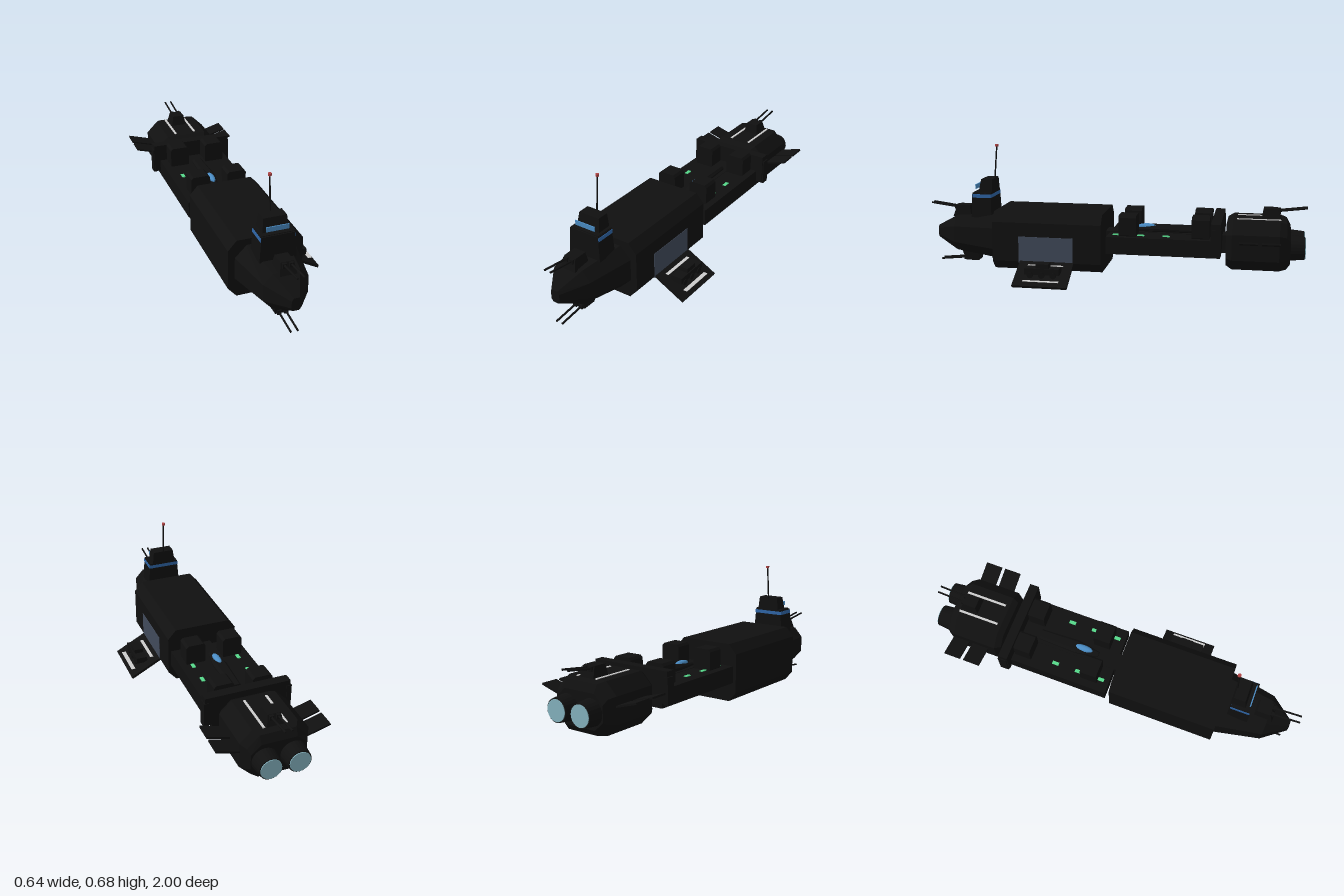
import * as THREE from 'three';

const mat = (color) => new THREE.MeshStandardMaterial({ color, flatShading: true });
const M = {
  hull: mat(0x101010), blue: mat(0x2f66a8), glass: mat(0x4a8cc4), door: mat(0x414a5a),
  white: mat(0xd8d8d8), green: mat(0x55d98a), red: mat(0xb04444), glow: mat(0x86b4c0),
};

function add(parent, name, geo, m, x = 0, y = 0, z = 0) {
  const mesh = new THREE.Mesh(geo, m);
  mesh.name = name;
  mesh.position.set(x, y, z);
  parent.add(mesh);
  return mesh;
}

// Box given by its extents
function block(parent, name, m, x0, x1, y0, y1, z0, z1) {
  return add(parent, name, new THREE.BoxGeometry(x1 - x0, y1 - y0, z1 - z0), m,
    (x0 + x1) / 2, (y0 + y1) / 2, (z0 + z1) / 2);
}

// Box whose top is scaled by sx, sz and shifted by dz
function taper(w, h, d, sx, sz, dz = 0) {
  const g = new THREE.BoxGeometry(w, h, d);
  const p = g.attributes.position;
  for (let i = 0; i < p.count; i++) {
    if (p.getY(i) > 0) p.setXYZ(i, p.getX(i) * sx, p.getY(i), p.getZ(i) * sz + dz);
  }
  g.computeVertexNormals();
  return g;
}

// Chamfered eight-sided hull through sections [z, halfWidth, yLow, yHigh, chamferX, chamferY], back to front
function hullLoft(sections) {
  const rings = sections.map(([z, w, a, b, cx, cy]) => [
    [w, a + cy, z], [w, b - cy, z], [w - cx, b, z], [cx - w, b, z],
    [-w, b - cy, z], [-w, a + cy, z], [cx - w, a, z], [w - cx, a, z],
  ]);
  const v = [];
  const tri = (...pts) => pts.forEach((p) => v.push(...p));
  for (let s = 0; s < rings.length - 1; s++) {
    const a = rings[s], b = rings[s + 1];
    for (let i = 0; i < 8; i++) {
      const j = (i + 1) % 8;
      tri(a[i], a[j], b[j]);
      tri(a[i], b[j], b[i]);
    }
  }
  const back = rings[0], front = rings[rings.length - 1];
  for (let i = 1; i < 7; i++) {
    tri(back[0], back[i + 1], back[i]);
    tri(front[0], front[i], front[i + 1]);
  }
  const g = new THREE.BufferGeometry();
  g.setAttribute('position', new THREE.Float32BufferAttribute(v, 3));
  g.computeVertexNormals();
  return g;
}

// Straight rod between two points
function rod(parent, name, m, a, b, r, sides = 8) {
  const p = new THREE.Vector3(...a), q = new THREE.Vector3(...b);
  const d = q.clone().sub(p);
  const mesh = add(parent, name, new THREE.CylinderGeometry(r, r, d.length(), sides), m);
  mesh.position.copy(p).add(q).multiplyScalar(0.5);
  mesh.quaternion.setFromUnitVectors(new THREE.Vector3(0, 1, 0), d.normalize());
  return mesh;
}

// Twin-barrel gun turret facing +z
function turret(parent, name, y, z, reach, rise) {
  const g = new THREE.Group();
  g.name = name;
  g.position.set(0, y, z);
  add(g, 'turretBase', taper(0.085, 0.06, 0.1, 0.75, 0.7, -0.005), M.hull, 0, 0.02, 0);
  for (const s of [-1, 1]) {
    block(g, 'barrelMount', M.hull, s * 0.017 - 0.01, s * 0.017 + 0.01, 0.025, 0.048, 0, 0.045);
    rod(g, 'barrel', M.hull, [s * 0.017, 0.036, 0.02], [s * 0.017, 0.036 + rise, reach], 0.005);
  }
  parent.add(g);
  return g;
}

export function createModel() {
  const model = new THREE.Group();
  const ship = new THREE.Group();
  ship.name = 'ship';
  ship.position.x = -0.037;
  model.add(ship);

  // Nose and cargo hull
  add(ship, 'nose', hullLoft([
    [0.59, 0.158, 0.084, 0.318, 0.06, 0.06],
    [0.845, 0.11, 0.115, 0.3, 0.045, 0.05],
    [0.965, 0.024, 0.17, 0.235, 0.01, 0.015],
  ]), M.hull);
  add(ship, 'cargoHull', hullLoft([
    [0.03, 0.189, 0.046, 0.349, 0.043, 0.049],
    [0.606, 0.189, 0.046, 0.349, 0.043, 0.049],
  ]), M.hull);
  block(ship, 'cargoDoor', M.door, 0.186, 0.191, 0.09, 0.228, 0.177, 0.465);

  // Bridge tower
  add(ship, 'towerBase', taper(0.182, 0.13, 0.11, 0.9, 0.92), M.hull, 0, 0.365, 0.695);
  block(ship, 'bridgeWindowBand', M.blue, -0.085, 0.085, 0.405, 0.424, 0.643, 0.745);
  block(ship, 'bridgeRoof', M.hull, -0.08, 0.08, 0.424, 0.434, 0.643, 0.74);
  add(ship, 'upperBridge', taper(0.13, 0.068, 0.075, 0.88, 0.8, -0.005), M.hull, 0, 0.467, 0.678);
  block(ship, 'upperWindow', M.glass, -0.056, 0.056, 0.448, 0.472, 0.732, 0.737);
  rod(ship, 'mast', M.hull, [0, 0.495, 0.645], [0, 0.675, 0.63], 0.004);
  add(ship, 'mastLight', new THREE.CylinderGeometry(0.009, 0.009, 0.012, 10), M.red, 0, 0.677, 0.63);

  // Gun turrets
  turret(ship, 'frontTopTurret', 0.303, 0.82, 0.18, 0.021);
  turret(ship, 'frontBottomTurret', 0.1, 0.778, 0.175, 0.016).rotation.z = Math.PI;
  turret(ship, 'rearTurret', 0.338, -0.822, 0.178, 0.02).rotation.y = Math.PI;

  // Spine and open deck
  block(ship, 'spine', M.hull, -0.046, 0.046, 0.152, 0.245, -0.62, 0.05);
  block(ship, 'deck', M.hull, -0.188, 0.184, 0.155, 0.243, -0.575, 0.005);
  block(ship, 'crossbar', M.hull, -0.22, 0.22, 0.18, 0.335, -0.577, -0.528);
  for (const s of [-1, 1]) {
    block(ship, 'crossbarCap', M.hull, s * 0.213 - 0.013, s * 0.213 + 0.013, 0.174, 0.308, -0.58, -0.535);
    for (const z of [-0.1, -0.473]) {
      add(ship, 'deckModule', hullLoft([
        [z - 0.045, 0.052, 0.235, 0.35, 0.012, 0.012],
        [z + 0.045, 0.052, 0.235, 0.35, 0.012, 0.012],
      ]), M.hull, s * 0.1);
    }
    for (const z of [-0.04, -0.167, -0.297]) {
      block(ship, 'deckLight', M.green, s * 0.124 - 0.009, s * 0.124 + 0.009, 0.24, 0.247, z - 0.018, z + 0.018);
    }
  }

  // Small craft parked on the deck
  add(ship, 'shuttleBody', hullLoft([
    [-0.43, 0.028, 0.24, 0.268, 0.01, 0.01],
    [-0.22, 0.036, 0.24, 0.274, 0.014, 0.012],
    [-0.1, 0.014, 0.24, 0.258, 0.005, 0.005],
  ]), M.hull);
  const canopy = add(ship, 'shuttleCanopy', new THREE.SphereGeometry(1, 16, 10), M.glass, 0, 0.268, -0.183);
  canopy.scale.set(0.018, 0.016, 0.05);

  // Engine section
  add(ship, 'engineHull', hullLoft([
    [-0.92, 0.138, 0.118, 0.285, 0.05, 0.045],
    [-0.9, 0.15, 0.09, 0.325, 0.06, 0.06],
    [-0.865, 0.171, 0.085, 0.335, 0.06, 0.06],
    [-0.63, 0.171, 0.085, 0.335, 0.06, 0.06],
    [-0.6, 0.15, 0.102, 0.318, 0.05, 0.05],
  ]), M.hull);
  for (const s of [-1, 1]) {
    const nozzle = add(ship, 'nozzle', new THREE.CylinderGeometry(0.066, 0.057, 0.09, 24), M.hull, s * 0.071, 0.2, -0.945);
    nozzle.rotation.x = Math.PI / 2;
    const glow = add(ship, 'nozzleGlow', new THREE.CylinderGeometry(0.052, 0.052, 0.006, 24), M.glow, s * 0.071, 0.2, -0.991);
    glow.rotation.x = Math.PI / 2;
    block(ship, 'roofStripe', M.white, s * 0.056 - 0.006, s * 0.056 + 0.006, 0.33, 0.338, -0.87, -0.65);
    for (const z of [-0.824, -0.715]) {
      const fin = add(ship, 'radiatorFin', new THREE.BoxGeometry(0.15, 0.009, 0.09), M.hull, s * 0.212, 0.242, z);
      fin.rotation.z = s * 0.28;
    }
  }

  // Lowered loading ramp, hinged at the door sill
  const ramp = add(ship, 'ramp', new THREE.BoxGeometry(0.185, 0.013, 0.285), M.hull, 0.271, 0.051, 0.315);
  ramp.rotation.z = -0.49;
  for (const [x, y] of [[0.22, 0.088], [0.33, 0.033]]) {
    block(ship, 'rampStripe', M.white, x - 0.011, x + 0.011, y - 0.001, y + 0.001, 0.22, 0.405);
  }

  // Vehicle on the ramp
  const truck = new THREE.Group();
  truck.name = 'vehicle';
  truck.position.set(0.278, 0, 0.313);
  ship.add(truck);
  block(truck, 'vehicleBody', M.hull, -0.03, 0.03, 0.06, 0.092, -0.09, 0.09);
  block(truck, 'vehicleCab', M.hull, -0.024, 0.024, 0.09, 0.114, -0.035, 0.03);
  for (const s of [-1, 1]) {
    for (const z of [-0.06, 0, 0.06]) {
      const wheel = add(truck, 'wheel', new THREE.CylinderGeometry(0.016, 0.016, 0.01, 12), M.hull, s * 0.029, 0.058, z);
      wheel.rotation.z = Math.PI / 2;
    }
  }
  return model;
}
